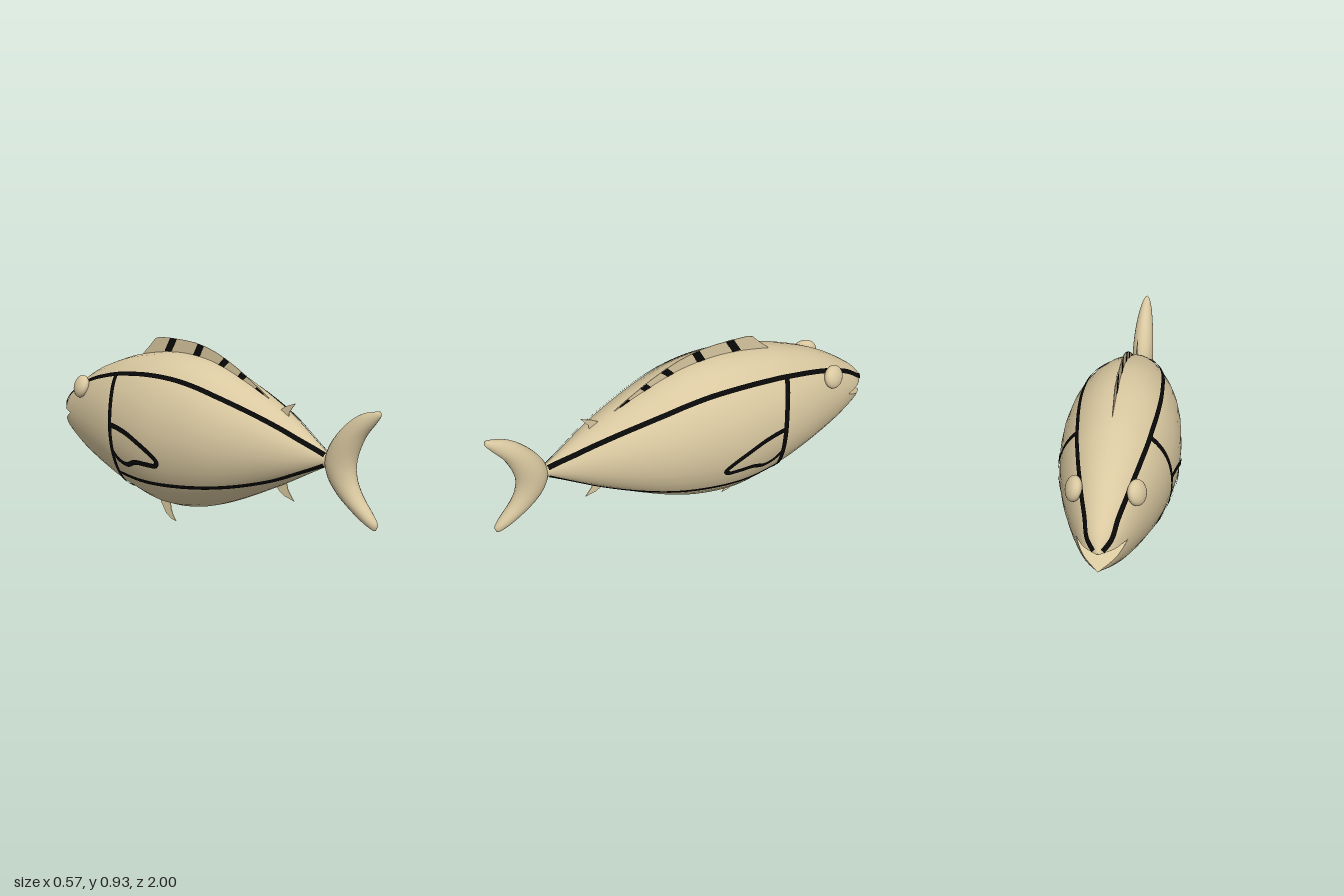
import * as THREE from 'three';
import { mergeGeometries, mergeVertices } from 'three/addons/utils/BufferGeometryUtils.js';

const tan = new THREE.MeshStandardMaterial({ color: 0xd9c8a0, side: THREE.DoubleSide });
tan.name = 'sandySkin';
const black = new THREE.MeshStandardMaterial({ color: 0x080808, side: THREE.DoubleSide });
black.name = 'blackStripe';

// Body stations: z, top y, bottom y, half width (head at -z)
const BODY = [
  [-1, 0.495, 0.4, 0.01], [-0.95, 0.56, 0.375, 0.065], [-0.9, 0.605, 0.345, 0.095],
  [-0.8, 0.68, 0.29, 0.14], [-0.7, 0.737, 0.247, 0.178], [-0.6, 0.78, 0.21, 0.212],
  [-0.45, 0.83, 0.16, 0.25], [-0.21, 0.87, 0.11, 0.28], [0, 0.858, 0.13, 0.27],
  [0.19, 0.8, 0.195, 0.237], [0.46, 0.68, 0.325, 0.145], [0.71, 0.53, 0.46, 0.028],
  [0.74, 0.52, 0.47, 0.022],
];
// Tail stations: y, front z, rear z
const TAIL = [
  [0.22, 0.98, 0.99], [0.25, 0.92, 0.997], [0.3, 0.85, 0.96], [0.35, 0.79, 0.918],
  [0.41, 0.74, 0.885], [0.46, 0.718, 0.873], [0.49, 0.713, 0.872], [0.53, 0.72, 0.878],
  [0.58, 0.742, 0.895], [0.64, 0.785, 0.925], [0.7, 0.845, 0.972], [0.74, 0.91, 0.999],
  [0.76, 0.985, 0.995],
];

// Smooth (Hermite) lookup in a station table
function sample(rows, t, col) {
  const n = rows.length - 1;
  t = THREE.MathUtils.clamp(t, rows[0][0], rows[n][0]);
  let i = 0;
  while (i < n - 1 && t > rows[i + 1][0]) i++;
  const slope = (k) => {
    const a = rows[Math.max(k - 1, 0)], b = rows[Math.min(k + 1, n)];
    return (b[col] - a[col]) / (b[0] - a[0]);
  };
  const d = rows[i + 1][0] - rows[i][0], s = (t - rows[i][0]) / d, s2 = s * s, s3 = s2 * s;
  return rows[i][col] * (2 * s3 - 3 * s2 + 1) + rows[i + 1][col] * (3 * s2 - 2 * s3)
    + d * (slope(i) * (s3 - 2 * s2 + s) + slope(i + 1) * (s3 - s2));
}

function section(z) {
  const top = sample(BODY, z, 1), bottom = sample(BODY, z, 2);
  return { c: (top + bottom) / 2, h: (top - bottom) / 2, w: sample(BODY, z, 3) };
}
function skin(z, a) {
  const { c, h, w } = section(z);
  return new THREE.Vector3(w * Math.cos(a), c + h * Math.sin(a), z);
}
function angleAt(z, y) {
  const { c, h } = section(z);
  return Math.asin(THREE.MathUtils.clamp((y - c) / h, -1, 1));
}
function skinNormal(z, a) {
  const e = 0.004;
  const dz = skin(z + e, a).sub(skin(z - e, a));
  return skin(z, a + e).sub(skin(z, a - e)).cross(dz).normalize();
}

// Surface over a u, v grid
function grid(nu, nv, fn) {
  const pos = [], idx = [];
  for (let i = 0; i <= nu; i++) for (let j = 0; j <= nv; j++) pos.push(...fn(i / nu, j / nv).toArray());
  for (let i = 0; i < nu; i++) for (let j = 0; j < nv; j++) {
    const a = i * (nv + 1) + j, c = a + nv + 1;
    idx.push(a, a + 1, c, a + 1, c + 1, c);
  }
  const g = new THREE.BufferGeometry();
  g.setAttribute('position', new THREE.Float32BufferAttribute(pos, 3));
  g.setIndex(idx);
  return g;
}
function smooth(g) {
  const m = mergeVertices(g, 1e-5);
  m.computeVertexNormals();
  return m;
}

// Stripe painted on the flank along [z, y] points; side is 1 or -1
function ribbon(points, width, side) {
  const curve = new THREE.CatmullRomCurve3(points.map(([z, y]) => new THREE.Vector3(0, y, z)));
  const n = points.length * 8;
  const at = (t) => {
    const p = curve.getPoint(THREE.MathUtils.clamp(t, 0, 1));
    return skin(p.z, angleAt(p.z, p.y));
  };
  return smooth(grid(n, 2, (u, v) => {
    const p = at(u), a = angleAt(p.z, p.y);
    const across = at(u + 0.01).sub(at(u - 0.01)).cross(skinNormal(p.z, a)).normalize();
    const q = p.addScaledVector(across, (v - 0.5) * width);
    const { c, h, w } = section(q.z);
    const b = Math.atan2((q.y - c) / h, Math.abs(q.x) / w);
    const r = skin(q.z, b).addScaledVector(skinNormal(q.z, b), 0.0045);
    r.x *= side;
    return r;
  }));
}

// Thin upright plate from a [z, y] outline
function plate(points, thickness, x) {
  const shape = new THREE.Shape(points.map(([z, y]) => new THREE.Vector2(z, y)));
  const g = new THREE.ExtrudeGeometry(shape, { depth: thickness, bevelEnabled: false });
  return g.translate(0, 0, -thickness / 2).rotateY(-Math.PI / 2).translate(x, 0, 0);
}

export function createModel() {
  const model = new THREE.Group();
  const add = (name, geometry, material) => {
    const m = new THREE.Mesh(geometry, material);
    m.name = name;
    model.add(m);
    return m;
  };

  // Body: upper and lower halves that part at the mouth
  const corner = -0.863, hinge = 0.485;
  const lip = (z, tipY) => angleAt(z, THREE.MathUtils.lerp(hinge, tipY, Math.max(0, (corner - z) / (1 + corner))));
  const zAt = (u) => (u <= 0.2 ? -1 + (u / 0.2) * (1 + corner) : corner + ((u - 0.2) / 0.8) * (0.74 - corner));
  const upper = grid(50, 16, (u, v) => {
    const z = zAt(u), a = lip(z, 0.49);
    return skin(z, a + v * (Math.PI - 2 * a));
  });
  const lower = grid(50, 16, (u, v) => {
    const z = zAt(u), a = lip(z, 0.402);
    return skin(z, Math.PI - a + v * (Math.PI + 2 * a));
  });
  add('body', smooth(mergeGeometries([upper, lower])), tan);

  // Flat insides of the mouth
  for (const [name, tipY] of [['mouthRoof', 0.49], ['mouthFloor', 0.402]]) {
    add(name, smooth(grid(8, 4, (u, v) => {
      const z = -1 + u * (1 + corner), p = skin(z, lip(z, tipY));
      p.x *= tipY > 0.45 ? 2 * v - 1 : 1 - 2 * v;
      return p;
    })), tan);
  }

  // Crescent tail
  add('tailFin', smooth(grid(36, 20, (u, v) => {
    const y = 0.49 - 0.27 * Math.cos(u * Math.PI), a = v * Math.PI * 2;
    const f = sample(TAIL, y, 1), r = sample(TAIL, y, 2);
    return new THREE.Vector3(0.055 * Math.sin(u * Math.PI) * Math.cos(a), y, (f + r) / 2 - ((r - f) / 2) * Math.sin(a));
  })), tan);

  // Thin fins
  add('dorsalFin', plate([
    [0.37, 0.727], [0.31, 0.765], [0.25, 0.8], [0.18, 0.84], [0.11, 0.873], [0.04, 0.901], [-0.02, 0.918],
    [-0.09, 0.93], [-0.155, 0.934], [-0.25, 0.934], [-0.33, 0.93], [-0.355, 0.92], [-0.39, 0.882],
    [-0.44, 0.835], [-0.44, 0.81], [-0.2, 0.85], [0, 0.84], [0.19, 0.78], [0.37, 0.705],
  ], 0.003, 0.008), tan);
  add('rearDorsalFin', plate([
    [0.535, 0.727], [0.48, 0.705], [0.45, 0.685], [0.43, 0.66], [0.47, 0.64], [0.495, 0.65], [0.5, 0.68],
  ], 0.003, 0), tan);
  add('analFin', plate([
    [0.535, 0.263], [0.48, 0.277], [0.45, 0.295], [0.42, 0.325], [0.45, 0.36], [0.49, 0.345], [0.5, 0.31],
  ], 0.003, 0), tan);
  add('bellyFin', plate([
    [-0.21, 0.005], [-0.245, 0.012], [-0.28, 0.035], [-0.31, 0.08], [-0.335, 0.13], [-0.33, 0.16],
    [-0.25, 0.15], [-0.25, 0.11], [-0.245, 0.065], [-0.23, 0.03],
  ], 0.003, -0.003), tan);

  // Slanted bars on the dorsal fin
  for (const bar of [
    [[-0.209, 0.933], [-0.252, 0.933], [-0.29, 0.866], [-0.247, 0.866]],
    [[-0.032, 0.919], [-0.07, 0.926], [-0.102, 0.866], [-0.059, 0.866]],
    [[0.129, 0.863], [0.097, 0.878], [0.054, 0.834], [0.091, 0.828]],
    [[0.236, 0.808], [0.204, 0.825], [0.177, 0.796], [0.209, 0.78]],
    [[0.345, 0.738], [0.3, 0.768], [0.279, 0.748], [0.311, 0.732]],
  ]) add('dorsalBar', plate(bar, 0.007, 0.008), black);

  // Flank markings and eyes, mirrored
  const backLine = [];
  for (let k = 0; k <= 16; k++) {
    const z = -0.985 + (k / 16) * 1.7;
    backLine.push([z, skin(z, 0.87).y]);
  }
  const bellyLine = [[-0.415, 0.27], [-0.23, 0.265], [-0.02, 0.276], [0.25, 0.312], [0.46, 0.367], [0.6, 0.425], [0.715, 0.475]];
  const gill = [[-0.46, 0.755], [-0.425, 0.625], [-0.41, 0.465], [-0.412, 0.3], [-0.425, 0.21], [-0.44, 0.162]];
  const finOutline = [
    [-0.41, 0.52], [-0.34, 0.513], [-0.26, 0.493], [-0.13, 0.43], [-0.085, 0.39], [-0.1, 0.37],
    [-0.15, 0.367], [-0.235, 0.363], [-0.305, 0.337], [-0.365, 0.35], [-0.41, 0.39],
  ];
  for (const side of [1, -1]) {
    const label = side > 0 ? 'left' : 'right';
    add(label + 'BackStripe', ribbon(backLine, 0.024, side), black);
    add(label + 'BellyStripe', ribbon(bellyLine, 0.022, side), black);
    add(label + 'GillStripe', ribbon(gill, 0.028, side), black);
    add(label + 'SideFinOutline', ribbon(finOutline, 0.026, side), black);

    const eye = add(label + 'Eye', new THREE.SphereGeometry(1, 24, 16), tan);
    eye.scale.set(0.058, 0.058, 0.034);
    eye.position.set(side * 0.137, 0.645, -0.745);
    eye.lookAt(side * 1.137, 1.0, -1.15);
  }
  return model;
}
